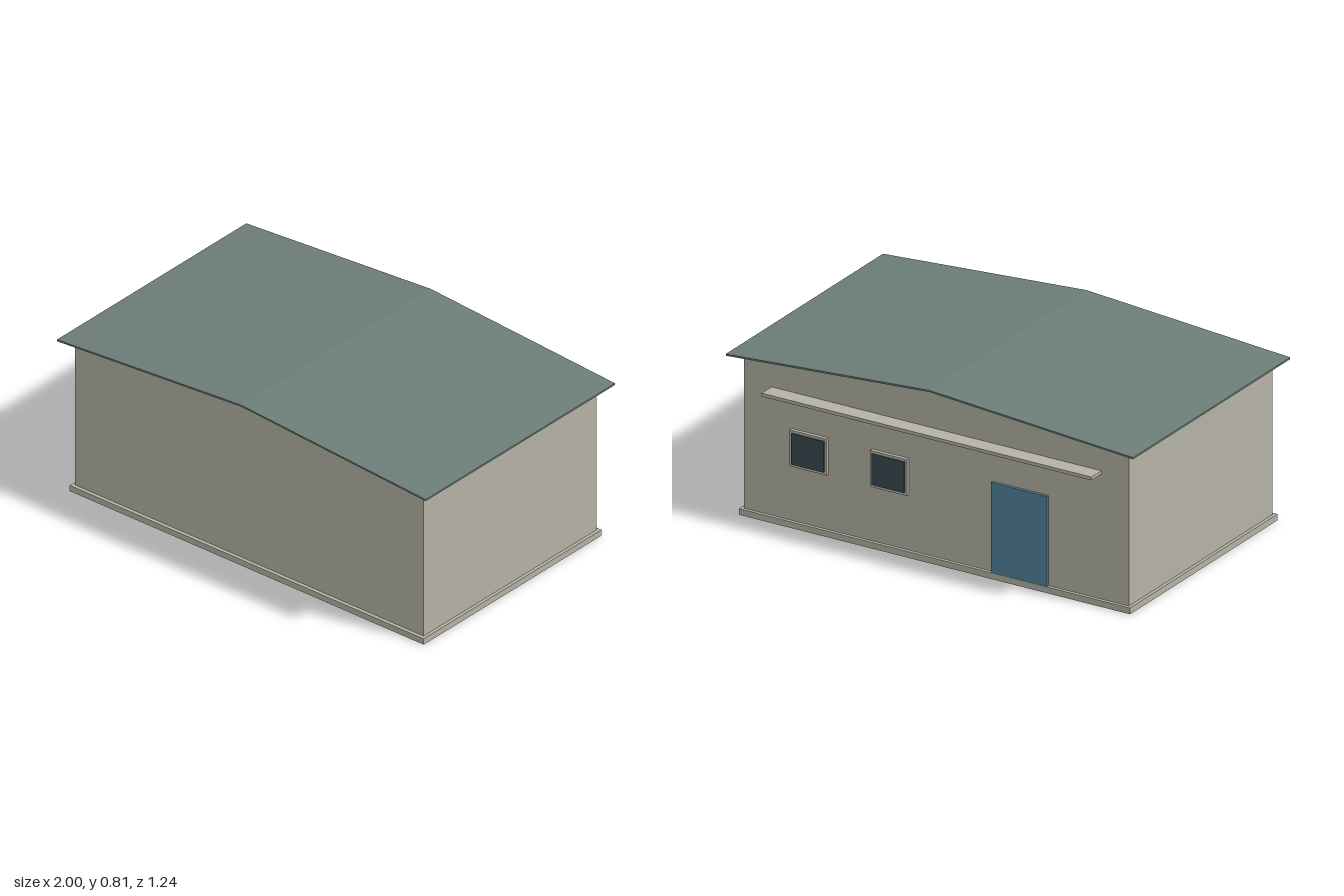
import * as THREE from 'three';

const mat = (name, color) => Object.assign(new THREE.MeshStandardMaterial({ color }), { name });

export function createModel() {
  const model = new THREE.Group();
  model.name = 'smallBuilding';

  const plaster = mat('plaster', 0xb4b2a4);
  const roofGreen = mat('roofGreen', 0x6c7d77);
  const doorBlue = mat('doorBlue', 0x50819a);
  const glassDark = mat('glassDark', 0x394a52);

  const add = (name, geometry, material, parent = model) => {
    const mesh = new THREE.Mesh(geometry, material);
    mesh.name = name;
    parent.add(mesh);
    return mesh;
  };

  // Box given by its limits on each axis
  const box = (name, [x0, x1], [y0, y1], [z0, z1], material, parent) => {
    const mesh = add(name, new THREE.BoxGeometry(x1 - x0, y1 - y0, z1 - z0), material, parent);
    mesh.position.set((x0 + x1) / 2, (y0 + y1) / 2, (z0 + z1) / 2);
    return mesh;
  };

  // Outline in x and y, extruded between two z positions
  const prism = (name, points, z0, z1, material) => {
    const shape = new THREE.Shape(points.map(([x, y]) => new THREE.Vector2(x, y)));
    const geometry = new THREE.ExtrudeGeometry(shape, { depth: z1 - z0, bevelEnabled: false });
    geometry.translate(0, 0, z0);
    return add(name, geometry, material);
  };

  const wallBack = -0.545, wallFront = 0.57, wallX = 0.945;
  const ridge = 0.797, eave = 0.727;
  const wallTop = ridge - (ridge - eave) * wallX;

  // Base slab and gabled walls
  box('plinth', [-0.96, 0.96], [0, 0.028], [-0.56, 0.587], plaster);
  prism('walls', [[-wallX, 0.028], [wallX, 0.028], [wallX, wallTop], [0, ridge], [-wallX, wallTop]],
    wallBack, wallFront, plaster);

  // Thin pitched roof with overhangs
  const t = 0.008;
  prism('roof', [[-1, eave], [0, ridge], [1, eave], [1, eave + t], [0, ridge + t], [-1, eave + t]],
    -0.6, 0.622, roofGreen);

  // Canopy and door on the back wall
  box('canopy', [-0.81, 0.81], [0.595, 0.61], [-0.622, wallBack], plaster);
  box('door', [-0.55, -0.275], [0.028, 0.437], [-0.558, wallBack], doorBlue);

  // Two framed windows
  for (const x of [0.62, 0.225]) {
    const windowGroup = new THREE.Group();
    windowGroup.name = 'window';
    windowGroup.position.x = x;
    model.add(windowGroup);
    box('windowFrame', [-0.09, 0.09], [0.28, 0.445], [-0.562, wallBack], plaster, windowGroup);
    box('windowGlass', [-0.08, 0.08], [0.293, 0.433], [-0.569, -0.562], glassDark, windowGroup);
  }

  return model;
}
